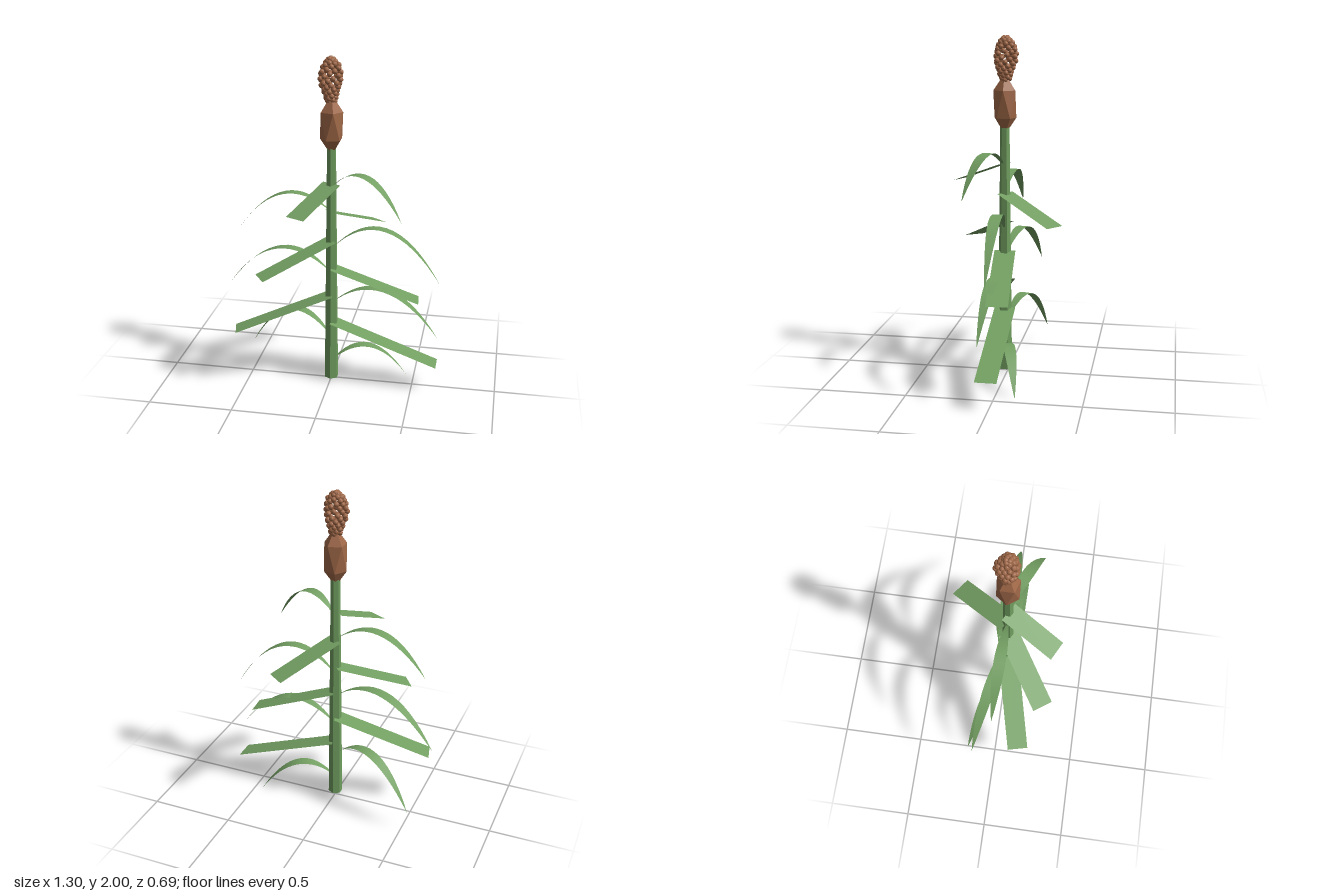
import * as THREE from 'three';

const AX = 0.004, AZ = 0.016; // stalk axis

const green = new THREE.MeshStandardMaterial({ color: 0x74a063, side: THREE.DoubleSide });
green.name = 'leafGreen';
const stalkGreen = new THREE.MeshStandardMaterial({ color: 0x6f9c5e, flatShading: true });
stalkGreen.name = 'stalkGreen';
const brown = new THREE.MeshStandardMaterial({ color: 0x9e6747, flatShading: true });
brown.name = 'seedBrown';

// Leaf running from the stalk axis to the tip; height(t) and halfWidth(t) shape it
function leaf(name, tipX, tipZ, segments, height, halfWidth) {
  const dx = tipX - AX, dz = tipZ - AZ, len = Math.hypot(dx, dz);
  const geo = new THREE.PlaneGeometry(2, 1, 1, segments);
  const p = geo.attributes.position;
  for (let i = 0; i < p.count; i++) {
    const t = 0.5 - p.getY(i);
    const w = p.getX(i) * halfWidth(t) / len;
    p.setXYZ(i, AX + dx * t + dz * w, height(t), AZ + dz * t - dx * w);
  }
  geo.computeVertexNormals();
  const mesh = new THREE.Mesh(geo, green);
  mesh.name = name;
  return mesh;
}

export function createModel() {
  const model = new THREE.Group();
  model.name = 'grainPlant';

  // Tapered six-sided stalk
  const stalk = new THREE.Mesh(new THREE.CylinderGeometry(0.027, 0.043, 1.48, 6), stalkGreen);
  stalk.name = 'stalk';
  stalk.position.set(AX, 0.76, AZ);
  model.add(stalk);

  // Straight drooping blades: base height, tip x, y, z
  [
    [0.398, 0.645, 0.162, 0.014],
    [0.572, -0.557, 0.358, 0.155],
    [0.746, 0.522, 0.552, -0.027],
    [0.918, -0.372, 0.751, 0.276],
    [1.091, 0.244, 0.945, -0.307],
    [1.264, -0.149, 1.141, 0.316],
  ].forEach(([y0, x, y, z], i) => {
    model.add(leaf('straightLeaf' + (i + 1), x, z, 1, t => y0 + (y - y0) * t, () => 0.062));
  });

  // Arching pointed leaves: peak height, tip x, y, z
  [
    [0.225, 0.452, 0.002, -0.116],
    [0.424, -0.533, 0.125, -0.173],
    [0.638, 0.648, 0.355, 0.06],
    [0.833, -0.652, 0.553, -0.116],
    [1.008, 0.648, 0.68, 0.015],
    [1.197, -0.558, 0.953, -0.005],
    [1.344, 0.431, 1.108, 0.183],
  ].forEach(([peak, x, y, z], i) => {
    const k = (peak - y) / 0.36;
    model.add(leaf('archingLeaf' + (i + 1), x, z, 16,
      t => peak - k * (t - 0.4) ** 2,
      t => 0.034 * Math.max(0, Math.sin(Math.PI * t)) ** 0.85));
  });

  // Faceted husk: two staggered rings of five between two points
  const husk = new THREE.Group();
  husk.name = 'husk';
  const pts = [0, -0.178, 0, 0, 0.178, 0], faces = [];
  for (let i = 0; i < 5; i++) {
    const a = i * Math.PI * 0.4, b = a + Math.PI * 0.2;
    pts.push(0.067 * Math.cos(b), -0.079, 0.067 * Math.sin(b));
    pts.push(0.067 * Math.cos(a), 0.079, 0.067 * Math.sin(a));
    const lo = 2 + 2 * i, up = lo + 1, lo2 = 2 + 2 * ((i + 1) % 5), up2 = lo2 + 1;
    faces.push(0, lo, lo2, 1, up2, up, lo, up, up2, lo, up2, lo2);
  }
  const huskGeo = new THREE.BufferGeometry();
  huskGeo.setAttribute('position', new THREE.Float32BufferAttribute(pts, 3));
  huskGeo.setIndex(faces);
  huskGeo.computeVertexNormals();
  const huskBody = new THREE.Mesh(huskGeo, brown);
  huskBody.name = 'huskBody';
  husk.add(huskBody);
  husk.position.set(AX, 1.607, AZ);
  model.add(husk);

  // Loose seed cluster winding round a teardrop shell
  const seeds = new THREE.Group();
  seeds.name = 'seedCluster';
  const seedGeo = new THREE.IcosahedronGeometry(0.016, 1);
  const outline = new THREE.SplineCurve([
    [0.022, 1.745], [0.034, 1.79], [0.054, 1.855], [0.055, 1.9], [0.04, 1.95], [0.008, 1.984],
  ].map(([r, y]) => new THREE.Vector2(r, y)));
  const COUNT = 84;
  for (let i = 0; i < COUNT; i++) {
    const q = outline.getPointAt((i + 0.5) / COUNT);
    const a = i * 2.39996, r = q.x * (1 + 0.09 * Math.sin(i * 5.3));
    const seed = new THREE.Mesh(seedGeo, brown);
    seed.name = 'seed';
    seed.position.set(AX - 0.004 + r * Math.cos(a), q.y, AZ - 0.004 + r * Math.sin(a));
    seed.rotation.set(i, i * 2, 0);
    seeds.add(seed);
  }
  model.add(seeds);

  return model;
}
